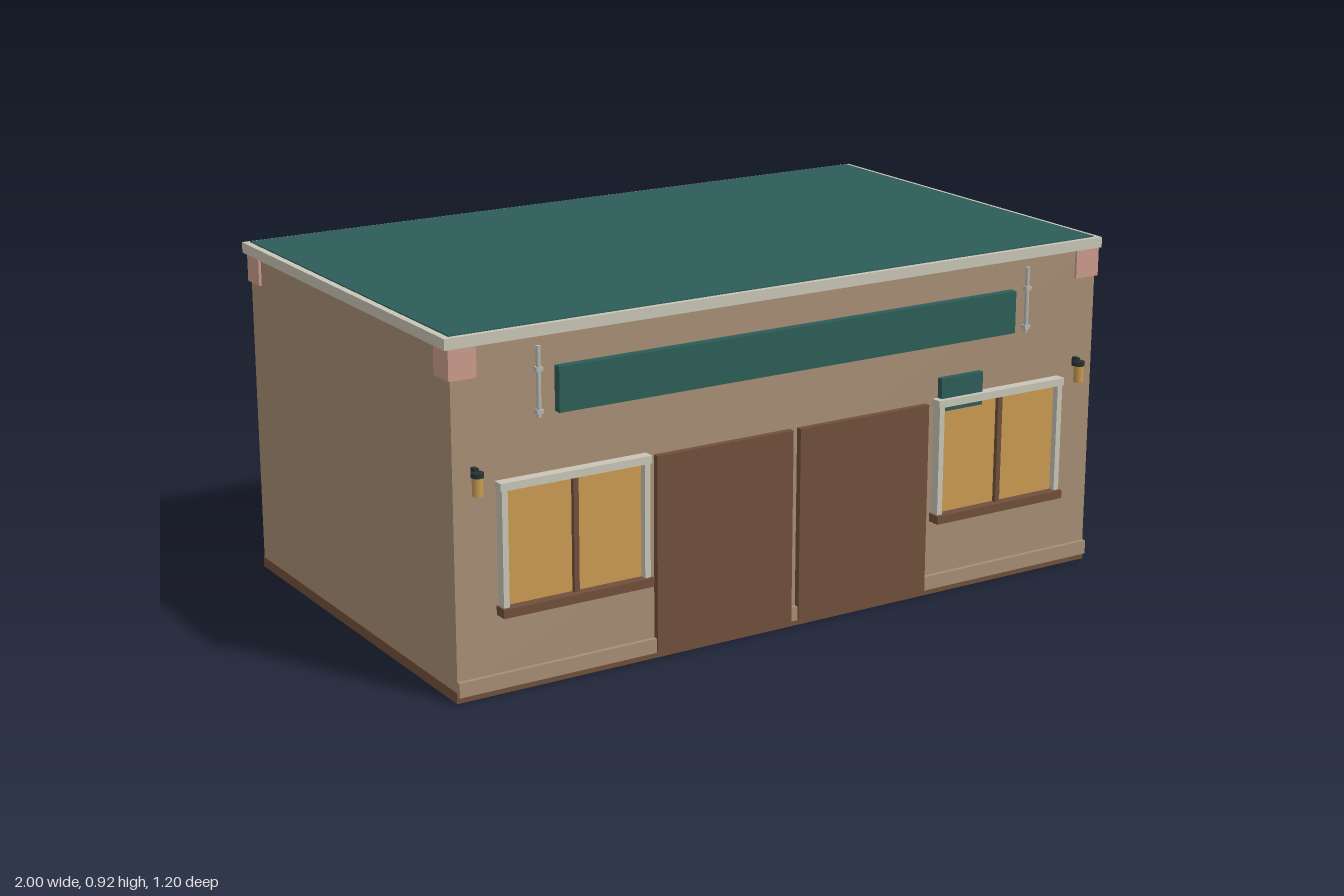
import * as THREE from 'three';

export function createModel() {
  const root = new THREE.Group();
  root.name = 'building';

  const mat = (name, color) => {
    const m = new THREE.MeshStandardMaterial({ color });
    m.name = name;
    return m;
  };
  const wall = mat('tan wall', 0xa68e74);
  const wood = mat('brown wood', 0x714f3b);
  const teal = mat('teal paint', 0x2d5d58);
  const trim = mat('pale trim', 0xc8c4b6);
  const glass = mat('amber glass', 0xca9a52);
  const pink = mat('pink block', 0xcb9b8b);
  const dark = mat('dark metal', 0x283133);
  const steel = mat('grey steel', 0xb6b7b1);

  // Box given by its lower and upper bounds on each axis
  const box = (name, m, x0, x1, y0, y1, z0, z1, parent = root) => {
    const mesh = new THREE.Mesh(new THREE.BoxGeometry(x1 - x0, y1 - y0, z1 - z0), m);
    mesh.position.set((x0 + x1) / 2, (y0 + y1) / 2, (z0 + z1) / 2);
    mesh.name = name;
    parent.add(mesh);
    return mesh;
  };
  // Upright cylinder between two heights
  const post = (name, m, r, x, z, y0, y1, sides = 10, parent = root) => {
    const mesh = new THREE.Mesh(new THREE.CylinderGeometry(r, r, y1 - y0, sides), m);
    mesh.position.set(x, (y0 + y1) / 2, z);
    mesh.name = name;
    parent.add(mesh);
    return mesh;
  };

  // Main body, base and front plinth
  box('walls', wall, -0.983, 0.962, 0.028, 0.887, -0.583, 0.56);
  box('base', wood, -0.985, 0.964, 0, 0.028, -0.585, 0.561);
  box('frontPlinth', wall, -0.983, 0.962, 0.018, 0.056, 0.54, 0.572);

  // Flat roof with a pale rim
  box('roofTrim', trim, -1, 0.975, 0.885, 0.913, -0.597, 0.57);
  box('roofSurface', teal, -0.982, 0.957, 0.909, 0.916, -0.584, 0.556);
  box('sideTrimStrip', trim, 0.955, 0.966, 0.875, 0.885, -0.52, 0.49);

  // Corner blocks under the roof
  for (const [x0, x1] of [[-0.99, -0.916], [0.893, 0.968]])
    for (const [z0, z1] of [[-0.59, -0.517], [0.492, 0.567]])
      box('cornerBlock', pink, x0, x1, 0.808, 0.885, z0, z1);

  // Pair of large doors
  box('rightDoor', wood, -0.428, -0.024, 0.02, 0.536, 0.55, 0.577);
  box('leftDoor', wood, -0.002, 0.404, 0.02, 0.536, 0.55, 0.577);

  // Windows with frame, mullion and sill
  for (const cx of [-0.661, 0.637]) {
    const g = new THREE.Group();
    g.name = 'window';
    root.add(g);
    box('glass', glass, cx - 0.2, cx + 0.2, 0.225, 0.53, 0.555, 0.57, g);
    box('frameTop', trim, cx - 0.21, cx + 0.21, 0.525, 0.545, 0.555, 0.59, g);
    for (const s of [-1, 1])
      box('frameSide', trim, cx + s * 0.198 - 0.008, cx + s * 0.198 + 0.008, 0.225, 0.53, 0.555, 0.588, g);
    box('mullion', wood, cx - 0.007, cx + 0.007, 0.225, 0.526, 0.555, 0.582, g);
    box('sill', wood, cx - 0.211, cx + 0.211, 0.207, 0.23, 0.555, 0.597, g);
  }

  // Sign boards and the slim rods beside the long one
  box('longSign', teal, -0.704, 0.677, 0.692, 0.806, 0.555, 0.583);
  box('smallSign', teal, 0.444, 0.579, 0.51, 0.6, 0.555, 0.577);
  for (const x of [-0.752, 0.725]) {
    post('signRod', steel, 0.006, x, 0.568, 0.685, 0.862);
    for (const y of [0.7, 0.805]) box('rodClip', steel, x - 0.009, x + 0.009, y - 0.005, y + 0.005, 0.555, 0.576);
  }

  // Wall lamps
  for (const x of [-0.928, 0.902]) {
    const g = new THREE.Group();
    g.name = 'lamp';
    root.add(g);
    post('lampGlass', glass, 0.014, x, 0.583, 0.524, 0.572, 10, g);
    post('lampCap', dark, 0.016, x, 0.583, 0.57, 0.582, 10, g);
    box('lampBracket', dark, x - 0.006, x + 0.006, 0.565, 0.59, 0.555, 0.58, g);
  }

  // Side wall: horizontal battens, pilasters and dark pipes
  for (const y of [0.115, 0.288, 0.459, 0.631])
    box('batten', wood, 0.955, 0.966, y - 0.004, y + 0.004, -0.565, 0.538);
  for (const [z0, z1, pipeZ] of [[0.324, 0.381, 0.332], [-0.408, -0.35, -0.356]]) {
    box('pilaster', wood, 0.95, 0.972, 0.002, 0.86, z0, z1);
    post('pipe', dark, 0.017, 0.981, pipeZ, 0.07, 0.663, 12);
  }

  // Ladder
  const ladder = new THREE.Group();
  ladder.name = 'ladder';
  root.add(ladder);
  for (const z of [0.034, 0.137]) post('rail', steel, 0.0055, 0.99, z, 0.057, 0.86, 8, ladder);
  for (let i = 0; i < 7; i++) {
    const y = 0.114 + i * 0.1147;
    post('rung', steel, 0.005, 0.99, 0.0855, y - 0.056, y + 0.056, 8, ladder).rotation.x = Math.PI / 2;
  }

  return root;
}
